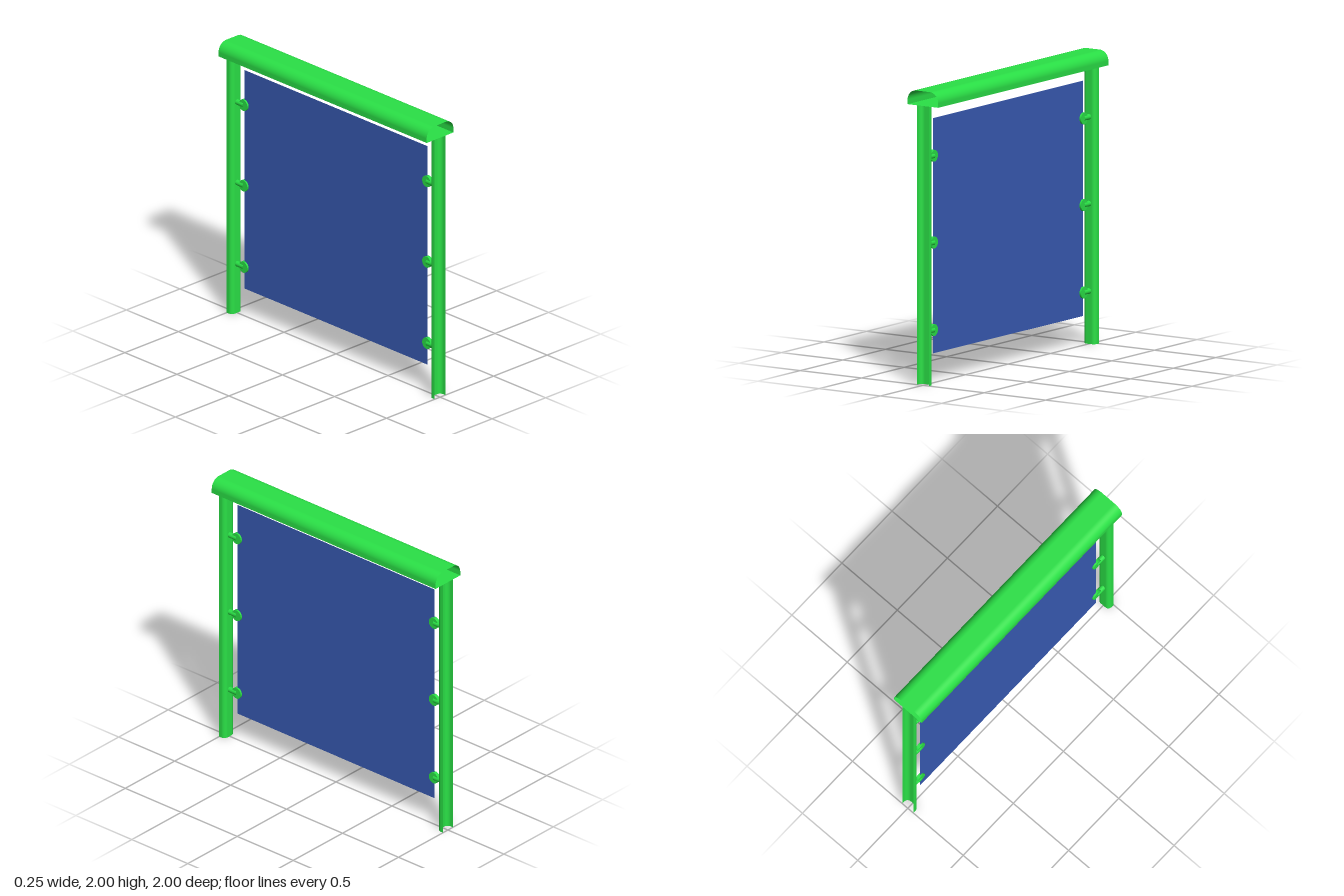
import * as THREE from 'three';

const green = new THREE.MeshStandardMaterial({ color: 0x2ae046, side: THREE.DoubleSide });
const blue = new THREE.MeshStandardMaterial({ color: 0x385bb4, side: THREE.DoubleSide });

// Thin-walled channel section in (x, y): web at y = depth with rounded shoulders, open towards y = 0.
// Swept by length along +z.
function channel(halfWidth, depth, radius, length) {
  const section = [[-halfWidth, 0, -1, 0]];
  const steps = 10;
  for (const side of [-1, 1]) {
    for (let i = 0; i <= steps; i++) {
      const t = (i / steps) * Math.PI / 2;
      const a = side < 0 ? Math.PI - t : Math.PI / 2 - t;
      const c = Math.cos(a), s = Math.sin(a);
      section.push([side * (halfWidth - radius) + radius * c, depth - radius + radius * s, c, s]);
    }
  }
  section.push([halfWidth, 0, 1, 0]);

  const positions = [], normals = [], index = [];
  section.forEach(([x, y, nx, ny], i) => {
    positions.push(x, y, 0, x, y, length);
    normals.push(nx, ny, 0, nx, ny, 0);
    if (i > 0) {
      const a = 2 * (i - 1), b = 2 * i;
      index.push(a, a + 1, b, b, a + 1, b + 1);
    }
  });
  const geometry = new THREE.BufferGeometry();
  geometry.setAttribute('position', new THREE.Float32BufferAttribute(positions, 3));
  geometry.setAttribute('normal', new THREE.Float32BufferAttribute(normals, 3));
  geometry.setIndex(index);
  return geometry;
}

function addMesh(parent, name, geometry, material) {
  const mesh = new THREE.Mesh(geometry, material);
  mesh.name = name;
  parent.add(mesh);
  return mesh;
}

export function createModel() {
  const model = new THREE.Group();
  model.name = 'framedPanel';

  // Top rail: rounded hood closed by a flat underside, hollow at both ends
  const rail = new THREE.Group();
  rail.name = 'topRail';
  rail.position.y = 1.9;
  addMesh(rail, 'railHood', channel(0.125, 0.1, 0.07, 2), green).position.z = -1;
  addMesh(rail, 'railUnderside', new THREE.PlaneGeometry(0.25, 2).rotateX(Math.PI / 2), green);
  model.add(rail);

  // Infill panel
  const panel = addMesh(model, 'panel', new THREE.PlaneGeometry(1.76, 1.6).rotateY(Math.PI / 2), blue);
  panel.position.y = 1;

  // One post with its three clips at the +z end, turned round for the other end
  const postGeometry = channel(0.05, 0.05, 0.03, 1.9).rotateX(-Math.PI / 2).rotateY(Math.PI);
  const discGeometry = new THREE.CylinderGeometry(0.04, 0.04, 0.024, 32).rotateZ(Math.PI / 2);
  const armGeometry = new THREE.CylinderGeometry(0.019, 0.019, 0.07, 20, 1, true).rotateX(Math.PI / 2);
  for (const side of ['front', 'back']) {
    const end = new THREE.Group();
    end.name = side + 'End';
    end.rotation.y = side === 'front' ? 0 : Math.PI;

    // Post: channel open outwards, web facing the panel
    const post = addMesh(end, side + 'Post', postGeometry, green);
    post.geometry.computeBoundingBox();
    post.position.z = 1 - post.geometry.boundingBox.max.z;
    if (post.geometry.boundingBox.max.z > 0.01) post.rotation.y = Math.PI, post.position.z = 1;

    // Clips: disc over the panel edge and a round arm to the post
    for (const y of [0.36, 0.955, 1.545]) {
      const clip = new THREE.Group();
      clip.name = side + 'Clip';
      clip.position.set(0, y, 0.88);
      addMesh(clip, 'clipDisc', discGeometry, green);
      addMesh(clip, 'clipArm', armGeometry, green).position.z = 0.035;
      end.add(clip);
    }
    model.add(end);
  }
  return model;
}
